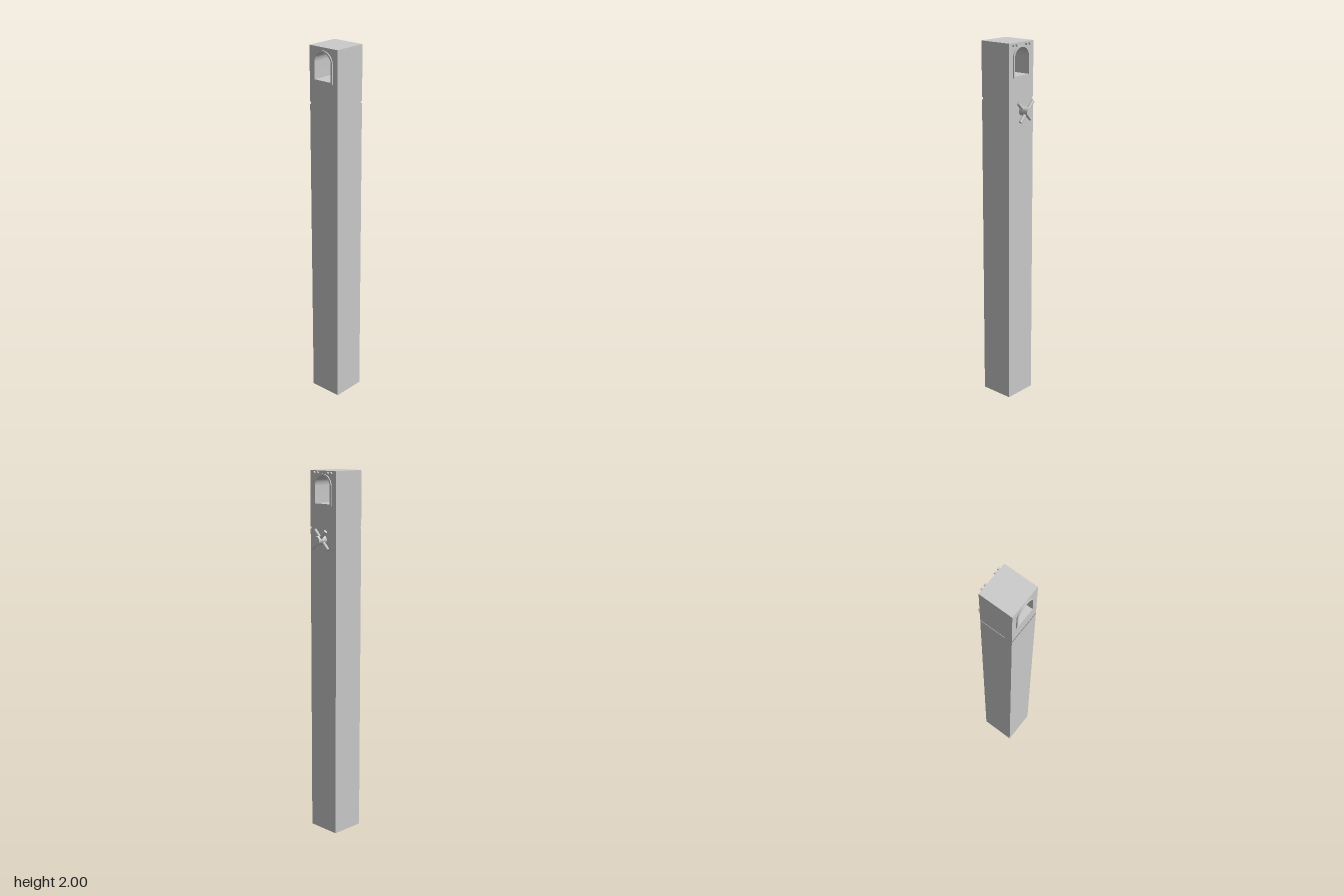
import * as THREE from 'three';
import { toCreasedNormals } from 'three/addons/utils/BufferGeometryUtils.js';

const CX = -0.027, CZ = -0.002, W = 0.19; // centre and width of the square post
const RIGHT = CX + W / 2, LEFT = CX - W / 2;

const grey = new THREE.MeshStandardMaterial({ color: 0xcccccc });
const thin = new THREE.MeshStandardMaterial({ color: 0xcccccc, side: THREE.DoubleSide });
const white = new THREE.MeshStandardMaterial({ color: 0xffffff });

function add(parent, name, geometry, x, y, z, material = grey) {
  const mesh = new THREE.Mesh(geometry, material);
  mesh.name = name;
  mesh.position.set(x, y, z);
  parent.add(mesh);
  return mesh;
}

// Round-topped window outline
function arch(Type, halfWidth, bottom, spring) {
  const path = new Type();
  path.moveTo(-halfWidth, bottom);
  path.lineTo(halfWidth, bottom);
  path.lineTo(halfWidth, spring);
  path.absarc(0, spring, halfWidth, 0, Math.PI, false);
  path.closePath();
  return path;
}

// Extrude a front-on profile along +x
function extrudeX(shape, depth) {
  const geometry = new THREE.ExtrudeGeometry(shape, { depth, bevelEnabled: false, curveSegments: 24 });
  return toCreasedNormals(geometry.rotateY(Math.PI / 2), 0.6);
}

export function createModel() {
  const model = new THREE.Group();
  model.name = 'lanternPost';

  // Hollow square post, open underneath
  const tube = new THREE.CylinderGeometry(W / Math.SQRT2, W / Math.SQRT2, 1.693, 4, 1, true)
    .rotateY(Math.PI / 4).toNonIndexed();
  tube.computeVertexNormals();
  add(model, 'post', tube, CX, 1.693 / 2, CZ, thin);

  // Pale band in the joint between post and head
  add(model, 'jointBand', new THREE.BoxGeometry(W - 0.006, 0.016, W - 0.006), CX, 1.699, CZ, white);

  // Head block with an arched opening right through it
  const block = new THREE.Shape();
  block.moveTo(-W / 2, 1.705);
  block.lineTo(W / 2, 1.705);
  block.lineTo(W / 2, 2);
  block.lineTo(-W / 2, 2);
  block.closePath();
  block.holes.push(arch(THREE.Path, 0.055, 1.83, 1.92));
  add(model, 'head', extrudeX(block, W), LEFT, 0, CZ);

  // Raised frames around both ends of the opening
  const ring = arch(THREE.Shape, 0.064, 1.821, 1.92);
  ring.holes.push(arch(THREE.Path, 0.055, 1.83, 1.92));
  const frame = extrudeX(ring, 0.006);
  add(model, 'windowFrameLeft', frame, RIGHT, 0, CZ);
  add(model, 'windowFrameRight', frame, LEFT - 0.006, 0, CZ);

  // Four small studs above the opening
  const stud = new THREE.CylinderGeometry(0.007, 0.007, 0.012, 16).rotateZ(Math.PI / 2);
  for (const z of [-0.062, -0.037, 0.037, 0.062]) add(model, 'stud', stud, RIGHT + 0.005, 1.988, CZ + z);

  // Valve handle: hub with two crossed bars
  const handle = new THREE.Group();
  handle.name = 'valveHandle';
  handle.position.set(RIGHT, 1.643, -0.007);
  add(handle, 'hub', new THREE.CylinderGeometry(0.023, 0.023, 0.057, 32).rotateZ(Math.PI / 2), 0.0285, 0, 0);
  const bar = new THREE.CylinderGeometry(0.009, 0.009, 0.14, 20);
  add(handle, 'innerBar', bar, 0.017, 0, 0).rotation.x = Math.PI / 4;
  add(handle, 'outerBar', bar, 0.035, 0, 0).rotation.x = -Math.PI / 4;
  model.add(handle);

  return model;
}
